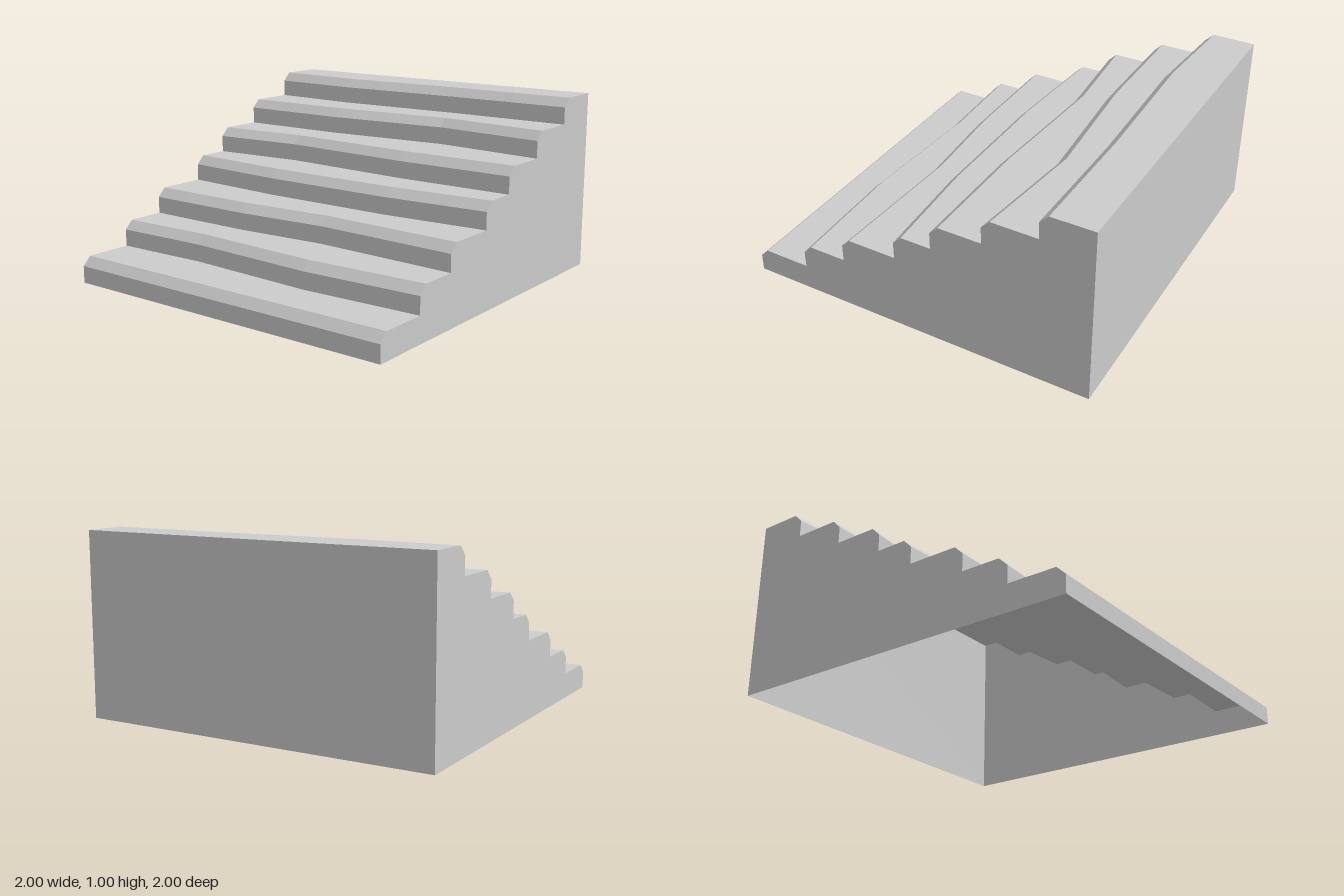
import * as THREE from 'three';

const STEPS = 7;
const RISE = 1 / STEPS;
const BEVEL = 0.048;
const BACK = -1;

// Worn front edge of each step, lowest first: [x, z] points from one side to the other
const EDGES = [
  [[-1, 1], [1, 1]],
  [[-1, 0.687], [-0.45, 0.668], [0.32, 0.711], [1, 0.687]],
  [[-1, 0.426], [-0.35, 0.426], [0.18, 0.389], [1, 0.426]],
  [[-1, 0.1], [-0.37, 0.14], [0.4, 0.14], [1, 0.1]],
  [[-1, -0.12], [-0.46, -0.167], [0.32, -0.12], [1, -0.12]],
  [[-1, -0.41], [-0.35, -0.414], [0.36, -0.475], [1, -0.41]],
  [[-1, -0.714], [-0.48, -0.684], [0.3, -0.714], [1, -0.714]],
];

// z of a step's front edge at x
function edgeZ(step, x) {
  if (step >= STEPS) return BACK;
  const points = EDGES[step];
  let i = 1;
  while (i < points.length - 1 && x > points[i][0]) i++;
  const [x0, z0] = points[i - 1];
  const [x1, z1] = points[i];
  return z0 + ((z1 - z0) * (x - x0)) / (x1 - x0);
}

// Section of one step at x: riser foot, riser top, bevel top, back of tread
function stepSection(step, x) {
  const z = edgeZ(step, x);
  const top = (step + 1) * RISE;
  return [
    [z, step * RISE],
    [z, top - BEVEL],
    [z - BEVEL, top],
    [edgeZ(step + 1, x), top],
  ];
}

// Riser, bevel and tread of one step, lofted between sections across the width
function stepGeometry(step) {
  const next = EDGES[step + 1] ?? [];
  const xs = [...new Set([...EDGES[step], ...next].map((p) => p[0]))].sort((a, b) => a - b);
  const positions = [];
  for (let i = 0; i < xs.length - 1; i++) {
    const left = stepSection(step, xs[i]);
    const right = stepSection(step, xs[i + 1]);
    for (let j = 0; j < 3; j++) {
      const a = [xs[i], left[j][1], left[j][0]];
      const b = [xs[i + 1], right[j][1], right[j][0]];
      const c = [xs[i + 1], right[j + 1][1], right[j + 1][0]];
      const d = [xs[i], left[j + 1][1], left[j + 1][0]];
      positions.push(...a, ...b, ...c, ...a, ...c, ...d);
    }
  }
  const geometry = new THREE.BufferGeometry();
  geometry.setAttribute('position', new THREE.Float32BufferAttribute(positions, 3));
  geometry.computeVertexNormals();
  return geometry;
}

// Flat side wall following the stepped profile; side is +1 or -1
function sideGeometry(side) {
  const outline = [new THREE.Vector2(-side * BACK, 0)];
  for (let s = 0; s < STEPS; s++) {
    for (const [z, y] of stepSection(s, side)) {
      const point = new THREE.Vector2(-side * z, y);
      if (outline[outline.length - 1].distanceTo(point) > 1e-5) outline.push(point);
    }
  }
  return new THREE.ShapeGeometry(new THREE.Shape(outline))
    .rotateY((side * Math.PI) / 2)
    .translate(side, 0, 0);
}

export function createModel() {
  const group = new THREE.Group();
  group.name = 'wornStaircase';
  // The shell is open underneath, so its inside shows too
  const material = new THREE.MeshStandardMaterial({
    color: 0xcccccc,
    flatShading: true,
    side: THREE.DoubleSide,
  });
  const add = (name, geometry) => {
    const mesh = new THREE.Mesh(geometry, material);
    mesh.name = name;
    group.add(mesh);
  };

  for (let s = 0; s < STEPS; s++) add(`step${s + 1}`, stepGeometry(s));
  add('leftWall', sideGeometry(1));
  add('rightWall', sideGeometry(-1));
  add('backWall', new THREE.PlaneGeometry(2, 1).rotateY(Math.PI).translate(0, 0.5, BACK));

  return group;
}
